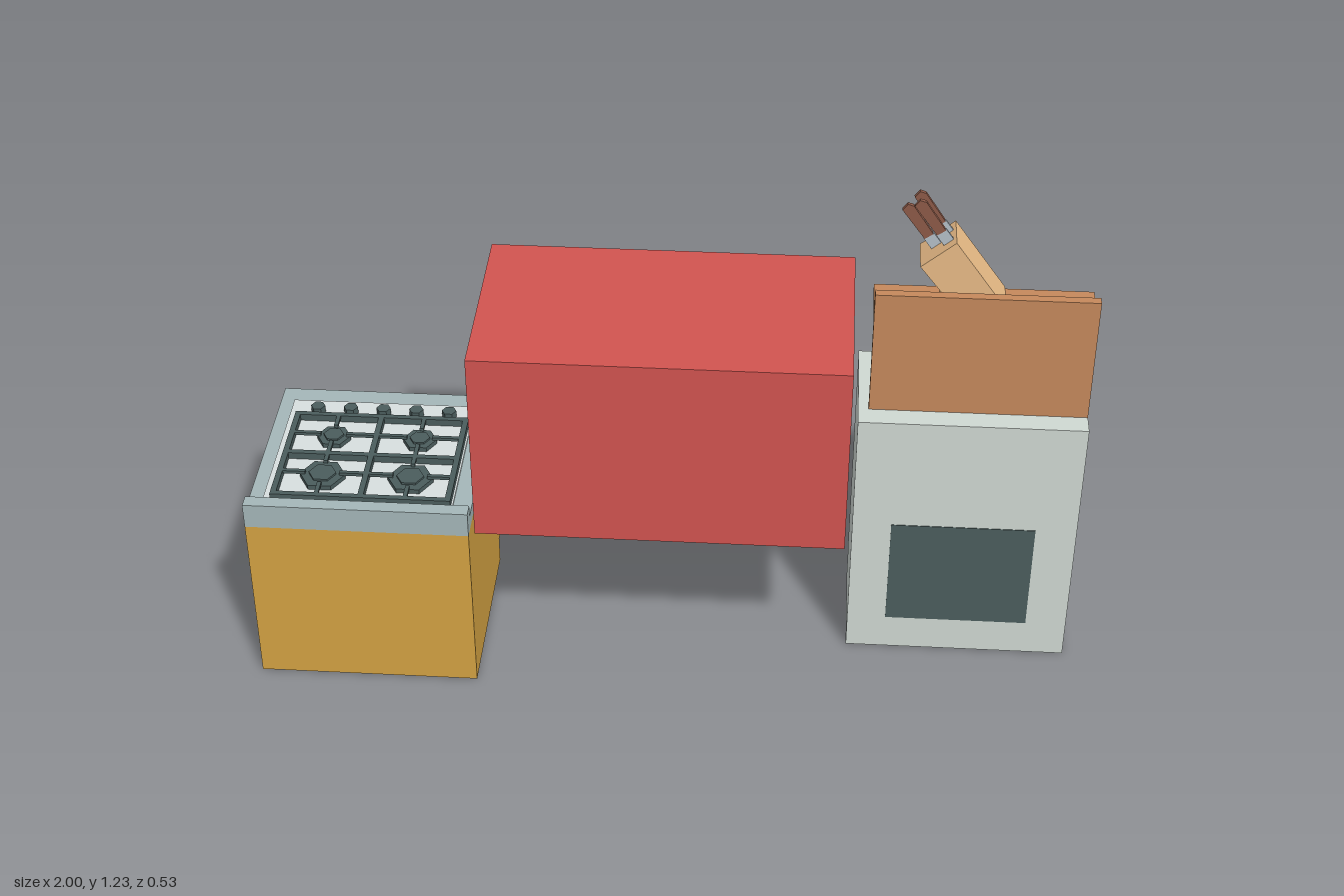
import * as THREE from 'three';

const paint = (color) => new THREE.MeshStandardMaterial({ color, flatShading: true });
const M = {
  red: paint(0xd25450), mustard: paint(0xd4a343), enamel: paint(0xd0d9d3), dark: paint(0x4b5d5d),
  steel: paint(0xa5b7b9), plate: paint(0xd8e0e0), glass: paint(0x9cb3a6), wood: paint(0xc6895c),
  strip: paint(0x9a6645), tan: paint(0xe8bb86), handle: paint(0x8c5a48), blade: paint(0xb4bfc8),
};

function add(parent, name, geometry, material) {
  const mesh = new THREE.Mesh(geometry, material);
  mesh.name = name;
  parent.add(mesh);
  return mesh;
}

// Box given by its extents on each axis
function box(parent, name, material, x0, x1, y0, y1, z0, z1) {
  const mesh = add(parent, name, new THREE.BoxGeometry(x1 - x0, y1 - y0, z1 - z0), material);
  mesh.position.set((x0 + x1) / 2, (y0 + y1) / 2, (z0 + z1) / 2);
  return mesh;
}

// Six-sided disc standing on height y
function hex(parent, name, material, x, y, z, r, h) {
  const mesh = add(parent, name, new THREE.CylinderGeometry(r, r, h, 6), material);
  mesh.position.set(x, y + h / 2, z);
  mesh.rotation.y = Math.PI / 6;
  return mesh;
}

// Flat outline given thickness along z
function slab(points, depth) {
  const shape = new THREE.Shape(points.map(([x, y]) => new THREE.Vector2(x, y)));
  return new THREE.ExtrudeGeometry(shape, { depth, bevelEnabled: false });
}

// Rectangular frame with an opening, facing along z
function frame(parent, name, material, x0, x1, y0, y1, border, z0, z1) {
  const shape = new THREE.Shape([[x0, y0], [x1, y0], [x1, y1], [x0, y1]].map((p) => new THREE.Vector2(...p)));
  const b = border;
  shape.holes.push(new THREE.Path([[x0 + b, y0 + b], [x0 + b, y1 - b], [x1 - b, y1 - b], [x1 - b, y0 + b]]
    .map((p) => new THREE.Vector2(...p))));
  const mesh = add(parent, name, new THREE.ExtrudeGeometry(shape, { depth: z1 - z0, bevelEnabled: false }), material);
  mesh.position.z = z0;
  return mesh;
}

function createStove() {
  const g = new THREE.Group();
  g.name = 'stove';
  box(g, 'stovePlinth', M.mustard, -1, -0.46, 0, 0.07, -0.205, 0.265);
  box(g, 'stoveBody', M.mustard, -1, -0.46, 0.07, 0.455, -0.23, 0.265);
  box(g, 'worktop', M.steel, -1, -0.46, 0.455, 0.49, -0.26, 0.265);
  box(g, 'splashback', M.steel, -1, -0.46, 0.49, 0.52, 0.23, 0.265);

  // Oven door
  box(g, 'ovenDoor', M.steel, -0.975, -0.485, 0.155, 0.45, -0.236, -0.23);
  frame(g, 'windowFrame', M.dark, -0.92, -0.54, 0.19, 0.365, 0.008, -0.242, -0.236);
  box(g, 'ovenWindow', M.glass, -0.912, -0.548, 0.198, 0.357, -0.239, -0.236);
  box(g, 'ovenHandle', M.steel, -0.92, -0.54, 0.388, 0.406, -0.259, -0.247);
  for (const x of [-0.9, -0.56]) box(g, 'handlePost', M.steel, x - 0.01, x + 0.01, 0.39, 0.404, -0.248, -0.236);

  // Hob plate and knobs
  box(g, 'hobPlate', M.plate, -0.965, -0.505, 0.49, 0.495, -0.205, 0.21);
  for (let i = 0; i < 5; i++) hex(g, 'hobKnob', M.dark, -0.895 + i * 0.083, 0.495, -0.16, 0.018, 0.018);

  // Burners with four support fingers each
  const cx = -0.7275, cz = 0.037;
  for (const x of [-0.835, -0.62]) {
    for (const [z, r] of [[-0.045, 0.042], [0.112, 0.056]]) {
      hex(g, 'burner', M.dark, x, 0.495, z, r, 0.012);
      hex(g, 'burnerCap', M.dark, x, 0.507, z, r * 0.6, 0.005);
      const zMin = z < cz ? -0.125 : cz, zMax = z < cz ? cz : 0.205;
      const xMin = x < cx ? -0.945 : cx, xMax = x < cx ? cx : -0.51;
      const f = r * 0.75;
      box(g, 'finger', M.dark, x - 0.005, x + 0.005, 0.507, 0.515, zMin, z - f);
      box(g, 'finger', M.dark, x - 0.005, x + 0.005, 0.507, 0.515, z + f, zMax);
      box(g, 'finger', M.dark, xMin, x - f, 0.507, 0.515, z - 0.005, z + 0.005);
      box(g, 'finger', M.dark, x + f, xMax, 0.507, 0.515, z - 0.005, z + 0.005);
    }
  }
  // Pan grate
  for (const x of [-0.939, cx, -0.516]) box(g, 'grateBar', M.dark, x - 0.007, x + 0.007, 0.497, 0.515, -0.13, 0.21);
  for (const z of [-0.123, cz, 0.203]) box(g, 'grateBar', M.dark, -0.946, -0.509, 0.497, 0.515, z - 0.007, z + 0.007);
  return g;
}

function createCabinet() {
  const g = new THREE.Group();
  g.name = 'wallCabinet';
  box(g, 'cabinetBase', M.red, -0.445, 0.435, 0.465, 0.487, -0.21, 0.265);
  box(g, 'cabinetBody', M.red, -0.445, 0.435, 0.487, 0.965, -0.232, 0.265);
  box(g, 'cabinetDoor', M.red, -0.335, 0.33, 0.515, 0.935, -0.244, -0.232);
  for (const x of [-0.363, 0.357]) box(g, 'doorStrip', M.strip, x - 0.024, x + 0.024, 0.515, 0.935, -0.235, -0.232);
  for (const y of [0.825, 0.856]) box(g, 'cabinetHandle', M.steel, -0.305, -0.165, y - 0.005, y + 0.005, -0.255, -0.244);
  return g;
}

function createFridge() {
  const g = new THREE.Group();
  g.name = 'fridge';
  box(g, 'fridgePlinth', M.enamel, 0.455, 1, 0, 0.07, -0.205, 0.07);
  box(g, 'fridgeBody', M.enamel, 0.455, 1, 0.07, 0.695, -0.23, 0.07);
  box(g, 'fridgeDoor', M.enamel, 0.485, 0.968, 0.103, 0.665, -0.254, -0.23);
  box(g, 'fridgeHandle', M.steel, 0.535, 0.562, 0.53, 0.62, -0.264, -0.254);
  box(g, 'vent', M.dark, 0.55, 0.9, 0.095, 0.39, 0.07, 0.0715);
  return g;
}

function createShelf() {
  const g = new THREE.Group();
  g.name = 'shelf';
  box(g, 'shelfBackboard', M.wood, 0.48, 1, 0.695, 1.02, -0.008, 0.015);
  box(g, 'shelfBoard', M.wood, 0.48, 1, 0.93, 0.952, -0.138, -0.008);
  // Triangular brackets, turned to lie across the shelf
  for (const x of [0.53, 0.95]) {
    const bracket = add(g, 'bracket', slab([[0, 0.825], [0.098, 0.93], [0, 0.93]], 0.02), M.dark);
    bracket.rotation.y = Math.PI / 2;
    bracket.position.set(x - 0.01, 0, -0.008);
  }
  for (let i = 0; i < 5; i++) {
    const x = 0.6 + i * 0.07;
    box(g, 'hook', M.dark, x - 0.012, x + 0.012, 0.742, 0.768, -0.026, -0.008);
  }
  return g;
}

function createKnifeBlock() {
  const g = new THREE.Group();
  g.name = 'knifeBlock';
  const block = add(g, 'block', slab([[0.582, 1.062], [0.668, 0.952], [0.79, 0.952], [0.662, 1.13]], 0.1), M.tan);
  block.position.z = -0.147;
  box(g, 'blockFoot', M.tan, 0.635, 0.68, 0.952, 0.99, -0.125, -0.07);
  // Knives follow the lean of the block
  for (const [x, y, z] of [[0.645, 1.115, -0.076], [0.645, 1.115, -0.116], [0.618, 1.092, -0.096]]) {
    const knife = new THREE.Group();
    knife.name = 'knife';
    knife.position.set(x, y, z);
    knife.rotation.z = 0.62;
    box(knife, 'blade', M.blade, -0.014, 0.014, -0.02, 0.034, -0.003, 0.003);
    add(knife, 'knifeHandle', slab([[-0.012, 0.032], [0.012, 0.032], [0.015, 0.12], [0.006, 0.132], [-0.013, 0.126]], 0.01),
      M.handle).position.z = -0.005;
    g.add(knife);
  }
  return g;
}

export function createModel() {
  const model = new THREE.Group();
  model.name = 'kitchenSet';
  model.add(createStove(), createCabinet(), createFridge(), createShelf(), createKnifeBlock());
  return model;
}
